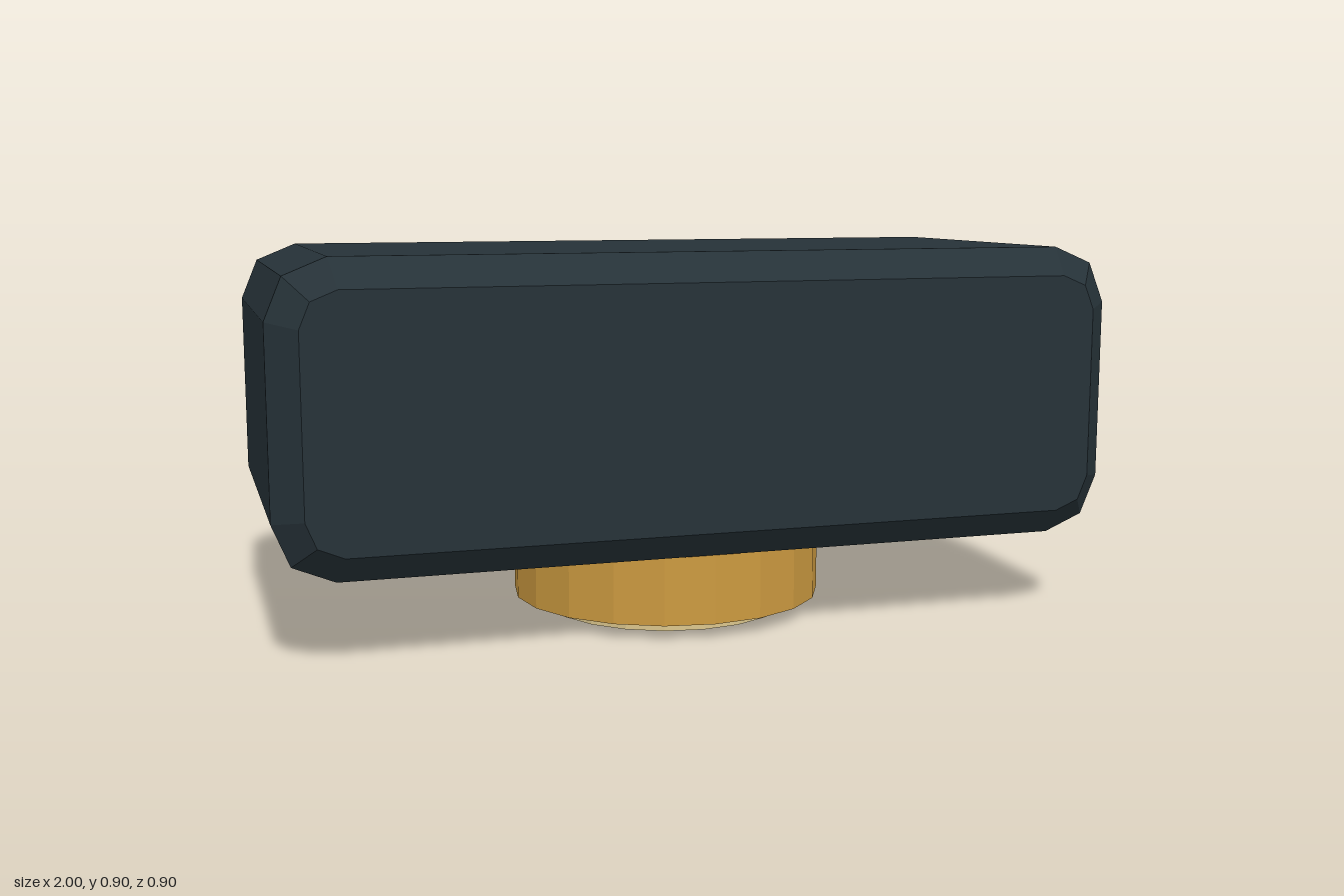
import * as THREE from 'three';

export function createModel() {
  const group = new THREE.Group();
  const material = (name, color) => {
    const m = new THREE.MeshStandardMaterial({ color, flatShading: true });
    m.name = name;
    return m;
  };
  const add = (name, geometry, mat, y) => {
    const mesh = new THREE.Mesh(geometry, mat);
    mesh.name = name;
    mesh.position.y = y;
    group.add(mesh);
  };

  // Slate block: rounded rectangle extruded with a single chamfer
  const bevel = 0.066, w = 1 - bevel, h = 0.35 - bevel, r = 0.082;
  const outline = new THREE.Shape();
  outline.absarc(w - r, h - r, r, 0, Math.PI / 2);
  outline.absarc(-w + r, h - r, r, Math.PI / 2, Math.PI);
  outline.absarc(-w + r, -h + r, r, Math.PI, Math.PI * 1.5);
  outline.absarc(w - r, -h + r, r, Math.PI * 1.5, Math.PI * 2);
  outline.closePath();
  const depth = 0.768;
  const block = new THREE.ExtrudeGeometry(outline, {
    depth, curveSegments: 1, bevelEnabled: true,
    bevelSize: bevel, bevelThickness: bevel, bevelSegments: 1,
  });
  block.translate(0, 0, -depth / 2);
  add('block', block, material('dark slate', 0x263238), 0.55);

  // Brass collar under the block, and the smaller pale foot below it
  add('collar', new THREE.CylinderGeometry(0.384, 0.384, 0.165, 20), material('brass', 0xcc9a40), 0.1175);
  add('foot', new THREE.CylinderGeometry(0.3, 0.3, 0.035, 20), material('pale brass', 0xdbc68d), 0.0175);

  return group;
}
